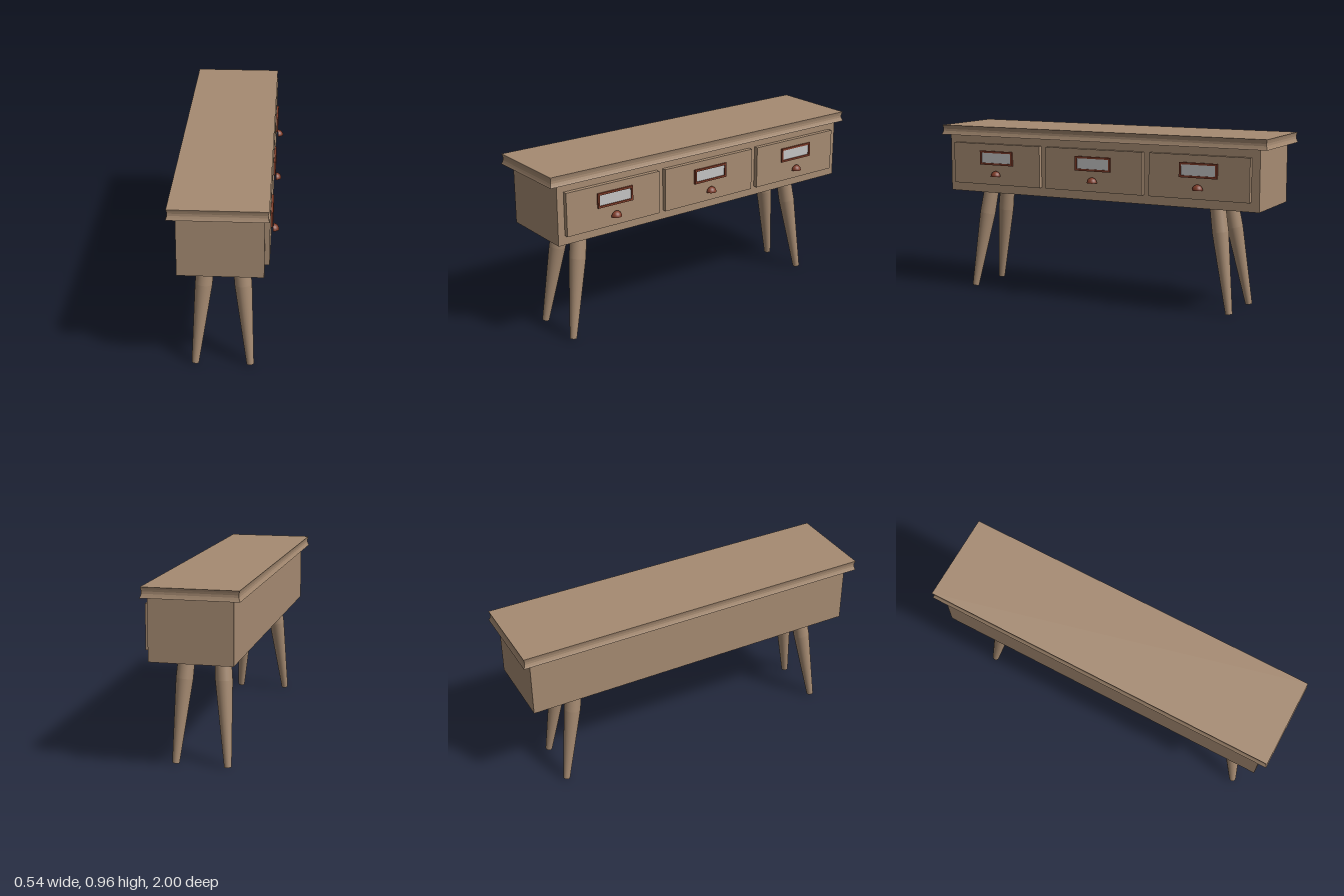
import * as THREE from 'three';

const wood = new THREE.MeshStandardMaterial({ name: 'wood', color: 0xa68b72 });
const copper = new THREE.MeshStandardMaterial({ name: 'copper', color: 0x7d3b28, side: THREE.DoubleSide });
const paper = new THREE.MeshStandardMaterial({ name: 'label grey', color: 0xc4c4c4 });

function mesh(name, geometry, material, parent) {
  const m = new THREE.Mesh(geometry, material);
  m.name = name;
  parent.add(m);
  return m;
}

// Box given by its lower and upper limits
function box(name, [x0, x1], [y0, y1], [z0, z1], material, parent) {
  const m = mesh(name, new THREE.BoxGeometry(x1 - x0, y1 - y0, z1 - z0), material, parent);
  m.position.set((x0 + x1) / 2, (y0 + y1) / 2, (z0 + z1) / 2);
  return m;
}

// Table top: rectangular rings [y, inset] joined into a slab with hollowed edges
function topGeometry(profile) {
  const rings = profile.map(([y, d]) => [
    [0.228 - d, y, 1 - d], [0.228 - d, y, -1 + d], [-0.27 + d, y, -1 + d], [-0.27 + d, y, 1 - d],
  ]);
  const pos = [];
  const tri = (a, b, c) => pos.push(...a, ...b, ...c);
  for (let k = 0; k + 1 < rings.length; k++) {
    for (let i = 0; i < 4; i++) {
      const j = (i + 1) % 4, lo = rings[k], hi = rings[k + 1];
      tri(lo[i], lo[j], hi[j]);
      tri(lo[i], hi[j], hi[i]);
    }
  }
  const b = rings[0], t = rings[rings.length - 1];
  tri(t[0], t[1], t[2]);
  tri(t[0], t[2], t[3]);
  tri(b[2], b[1], b[0]);
  tri(b[3], b[2], b[0]);
  const g = new THREE.BufferGeometry();
  g.setAttribute('position', new THREE.Float32BufferAttribute(pos, 3));
  g.computeVertexNormals();
  return g;
}

// Tapered round leg between two points, widest over its upper quarter
function leg(top, bottom, parent) {
  const a = new THREE.Vector3(...bottom), axis = new THREE.Vector3(...top).sub(a);
  const h = axis.length(), up = new THREE.Vector3(0, 1, 0);
  const group = new THREE.Group();
  group.name = 'leg';
  const shaft = mesh('legShaft', new THREE.CylinderGeometry(0.045, 0.019, h * 0.75, 24), wood, group);
  shaft.position.y = h * 0.375;
  const neck = mesh('legNeck', new THREE.CylinderGeometry(0.043, 0.045, h * 0.25, 24), wood, group);
  neck.position.y = h * 0.875;
  group.position.copy(a);
  group.quaternion.setFromUnitVectors(up, axis.normalize());
  parent.add(group);
}

// Half dome shell, open underneath and towards the drawer
function pullGeometry(outer, inner) {
  const pts = [], n = 10;
  for (let i = 0; i <= n; i++) {
    const t = (i / n) * Math.PI / 2;
    pts.push(new THREE.Vector2(outer * Math.cos(t), outer * Math.sin(t)));
  }
  for (let i = n; i >= 0; i--) {
    const t = (i / n) * Math.PI / 2;
    pts.push(new THREE.Vector2(inner * Math.cos(t), inner * Math.sin(t)));
  }
  pts.push(pts[0].clone());
  return new THREE.LatheGeometry(pts, 16, 0, Math.PI);
}

// Label frame outline with its opening
function frameGeometry(w, h, bar, depth) {
  const rect = (s, a, b) => s.moveTo(-a, -b).lineTo(a, -b).lineTo(a, b).lineTo(-a, b).closePath();
  const shape = rect(new THREE.Shape(), w / 2, h / 2);
  shape.holes.push(rect(new THREE.Path(), w / 2 - bar, h / 2 - bar));
  return new THREE.ExtrudeGeometry(shape, { depth, bevelEnabled: false }).rotateY(Math.PI / 2);
}

export function createModel() {
  const model = new THREE.Group();
  model.name = 'console table';

  mesh('tableTop', topGeometry([[0.905, 0], [0.915, 0.004], [0.926, 0.0075], [0.938, 0.008],
    [0.949, 0.006], [0.96, 0.003]]), wood, model);
  box('cabinet', [-0.229, 0.203], [0.579, 0.906], [-0.955, 0.952], wood, model);

  // Three drawers, each with a framed label and a cup pull
  const frame = frameGeometry(0.216, 0.08, 0.011, 0.01);
  const pull = pullGeometry(0.03, 0.019);
  for (const [z0, z1, mid] of [[0.34, 0.913, 0.623], [-0.298, 0.3, 0], [-0.91, -0.338, -0.625]]) {
    const drawer = new THREE.Group();
    drawer.name = 'drawer';
    model.add(drawer);
    box('drawerFront', [0.2, 0.228], [0.629, 0.863], [z0, z1], wood, drawer);
    mesh('labelFrame', frame, copper, drawer).position.set(0.228, 0.783, mid);
    box('label', [0.227, 0.232], [0.752, 0.814], [mid - 0.1, mid + 0.1], paper, drawer);
    mesh('cupPull', pull, copper, drawer).position.set(0.238, 0.68, mid);
  }

  // Splayed legs
  leg([0.08, 0.585, 0.755], [0.134, 0.003, 0.845], model);
  leg([-0.094, 0.585, 0.755], [-0.152, 0.003, 0.845], model);
  leg([0.078, 0.585, -0.675], [0.121, 0.003, -0.766], model);
  leg([-0.107, 0.585, -0.675], [-0.157, 0.003, -0.776], model);
  return model;
}
